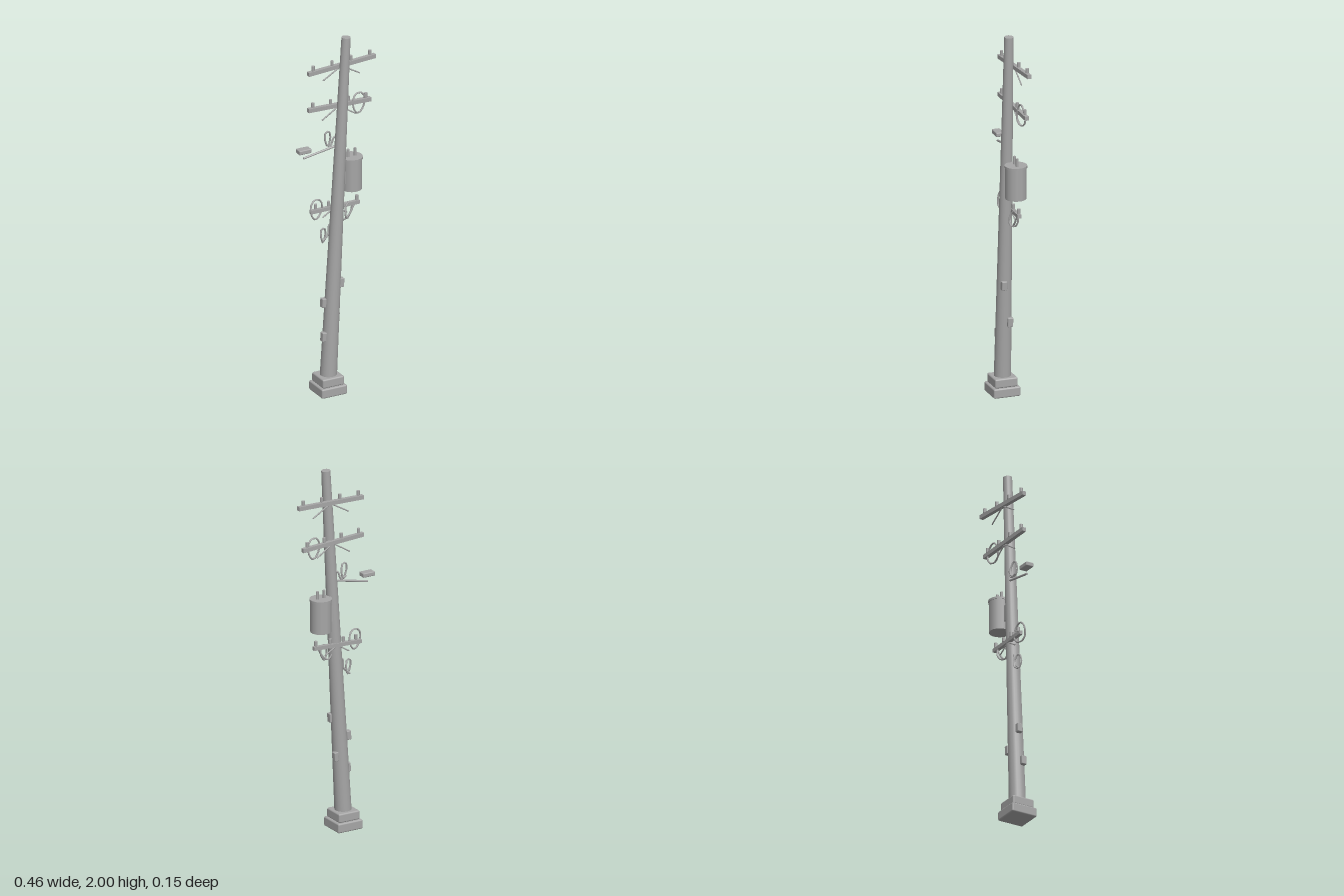
import * as THREE from 'three';
import { RoundedBoxGeometry } from 'three/addons/geometries/RoundedBoxGeometry.js';

const grey = new THREE.MeshStandardMaterial({ color: 0xa6a6a6 });
grey.name = 'weathered grey';
const V = (x, y, z) => new THREE.Vector3(x, y, z);

export function createModel() {
  const model = new THREE.Group();
  model.name = 'utilityPole';

  const add = (name, geometry, x = 0, y = 0, z = 0, parent = model) => {
    const mesh = new THREE.Mesh(geometry, grey);
    mesh.name = name;
    mesh.position.set(x, y, z);
    parent.add(mesh);
    return mesh;
  };

  // Cylinder running from a to b
  const rod = (name, a, b, ra, rb = ra, sides = 8, parent = model) => {
    const dir = b.clone().sub(a);
    const mid = a.clone().add(b).multiplyScalar(0.5);
    const mesh = add(name, new THREE.CylinderGeometry(rb, ra, dir.length(), sides), mid.x, mid.y, mid.z, parent);
    mesh.quaternion.setFromUnitVectors(V(0, 1, 0), dir.normalize());
    return mesh;
  };

  // Closed, coarsely bent coil of wire
  const coil = (name, x, y, z, rx, ry, yaw, roll = 0, bends = 10) => {
    const points = [];
    for (let i = 0; i < bends; i++) {
      const a = (i / bends) * Math.PI * 2;
      points.push(V(Math.cos(a) * rx, Math.sin(a) * ry, 0.004 * Math.sin(a * 2)));
    }
    const path = new THREE.CatmullRomCurve3(points, true, 'catmullrom', 0.3);
    const mesh = add(name, new THREE.TubeGeometry(path, bends * 2, 0.005, 6, true), x, y, z);
    mesh.rotation.set(0, yaw, roll);
    return mesh;
  };

  // Loose wire through a few points
  const wire = (name, points) =>
    add(name, new THREE.TubeGeometry(new THREE.CatmullRomCurve3(points), 14, 0.005, 6));

  // Stepped footing
  add('footing', new RoundedBoxGeometry(0.149, 0.052, 0.149, 2, 0.008), -0.067, 0.026, 0.001);
  add('footingStep', new RoundedBoxGeometry(0.126, 0.05, 0.126, 2, 0.008), -0.067, 0.076, 0.001);

  // Leaning, tapered pole
  const bottom = V(-0.066, 0.09, 0.002), top = V(0.037, 1.999, 0.005);
  rod('pole', bottom, top, 0.045, 0.024, 18);

  // Crossarms with insulators and braces
  const crossarm = (a, b, insulators, braces, size = 0.022) => {
    const arm = new THREE.Group();
    arm.name = 'crossarm';
    model.add(arm);
    const dir = b.clone().sub(a);
    const mid = a.clone().add(b).multiplyScalar(0.5);
    const beam = add('crossarmBeam', new THREE.BoxGeometry(dir.length(), size, size), mid.x, mid.y, mid.z, arm);
    beam.quaternion.setFromUnitVectors(V(1, 0, 0), dir.clone().normalize());
    for (const x of insulators) {
      const p = a.clone().lerp(b, (x - a.x) / dir.x);
      add('insulator', new THREE.CylinderGeometry(0.009, 0.009, 0.024, 10), p.x, p.y + 0.027, p.z, arm);
      add('insulatorPin', new THREE.CylinderGeometry(0.005, 0.005, 0.012, 8), p.x, p.y + 0.013, p.z, arm);
    }
    for (const [x0, y0, x1, y1] of braces) {
      rod('brace', V(x0, y0, mid.z), V(x1, y1, mid.z), 0.004, 0.004, 6, arm);
    }
  };
  crossarm(V(-0.173, 1.821, -0.021), V(0.23, 1.837, -0.037), [-0.143, -0.029, 0.085, 0.199],
    [[-0.08, 1.762, 0.02, 1.82], [0.135, 1.762, 0.035, 1.82]]);
  crossarm(V(-0.173, 1.614, -0.022), V(0.202, 1.598, -0.034), [-0.145, -0.038, 0.068, 0.173],
    [[-0.088, 1.537, 0.01, 1.598], [0.11, 1.537, 0.02, 1.595]]);
  crossarm(V(-0.155, 1.028, -0.03), V(0.128, 1.035, -0.02), [-0.125, -0.05, 0.028, 0.113],
    [[-0.085, 0.985, -0.02, 1.025], [0.06, 0.985, -0.01, 1.025]], 0.02);

  // Wire coils hung on the arms and the pole
  coil('upperCoil', 0.13, 1.594, -0.028, 0.04, 0.058, 0.2);
  coil('lowerCoil', -0.125, 1.042, -0.02, 0.04, 0.056, 0.25);
  coil('lampCoil', -0.06, 1.432, -0.016, 0.022, 0.046, 0.4, 0.1, 6);
  coil('sideCoil', 0.06, 1.0, -0.014, 0.03, 0.045, 0.5, -0.3, 7);
  coil('poleCoil', -0.09, 0.892, -0.01, 0.022, 0.042, 0.5, 0.1, 6);
  wire('lampWire', [V(-0.075, 1.4, -0.015), V(-0.04, 1.39, -0.02), V(-0.022, 1.43, -0.02), V(0.005, 1.445, -0.01)]);
  wire('sideWire', [V(-0.01, 1.02, -0.01), V(0.03, 0.955, -0.012), V(0.06, 0.97, -0.014), V(0.1, 1.03, -0.018)]);
  wire('poleWire', [V(-0.1, 0.85, -0.01), V(-0.06, 0.89, -0.012), V(-0.055, 0.94, -0.012), V(-0.02, 0.96, -0.005)]);

  // Street lamp on its bracket
  rod('lampBracket', V(-0.2, 1.347, -0.022), V(0.005, 1.388, -0.012), 0.006);
  add('lampHead', new RoundedBoxGeometry(0.072, 0.024, 0.044, 2, 0.005), -0.198, 1.39, -0.023);

  // Transformer can with lid and bushings
  const cx = 0.081, cz = -0.017;
  add('transformerCan', new THREE.CylinderGeometry(0.056, 0.056, 0.175, 14), cx, 1.209, cz);
  add('transformerLid', new THREE.CylinderGeometry(0.06, 0.06, 0.012, 14), cx, 1.298, cz);
  for (const side of [-1, 1]) {
    add('bushing', new THREE.CylinderGeometry(0.008, 0.008, 0.045, 10), cx + side * 0.021, 1.324, cz);
  }
  add('transformerMount', new THREE.BoxGeometry(0.04, 0.09, 0.03), 0.02, 1.21, -0.008);

  // Small junction boxes up the pole
  for (const [x, y, z] of [[-0.092, 0.51, -0.004], [-0.101, 0.325, 0.015], [0.0, 0.617, 0.018], [-0.008, 0.41, -0.018]]) {
    const box = add('junctionBox', new RoundedBoxGeometry(0.026, 0.05, 0.03, 1, 0.004), x, y, z);
    box.rotation.z = -0.054;
  }

  return model;
}
